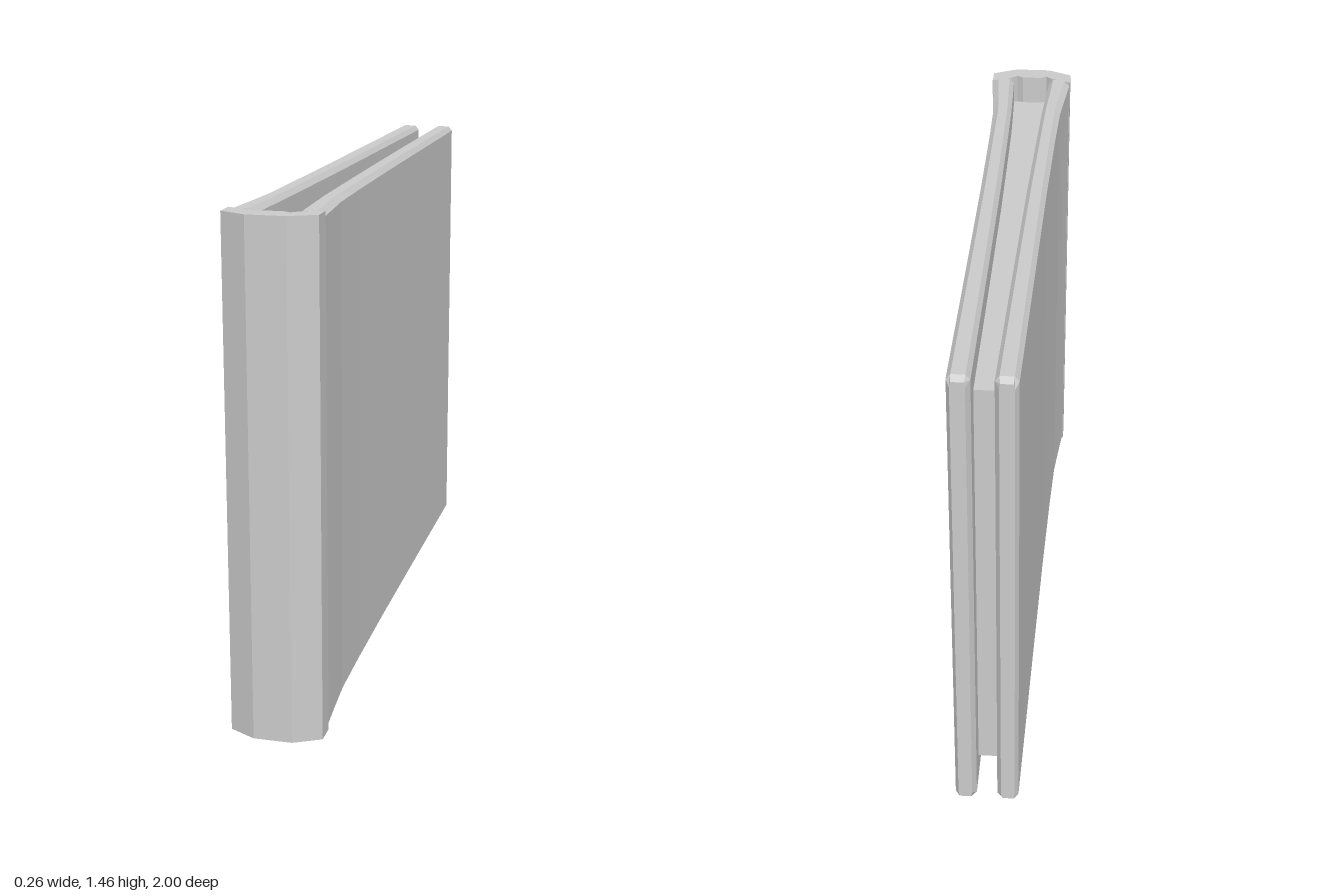
import * as THREE from 'three';

const H = 1.455; // full height of the binding
const INSET = 0.09; // pages sit back from the cover edges
const material = new THREE.MeshStandardMaterial({ color: 0xcccccc, flatShading: true });

// Plan outline (x, z) extruded upwards from y0 to y1
function prism(name, points, y0, y1) {
  const shape = new THREE.Shape(points.map(([x, z]) => new THREE.Vector2(x, -z)));
  const geometry = new THREE.ExtrudeGeometry(shape, { depth: y1 - y0, bevelEnabled: false });
  geometry.rotateX(-Math.PI / 2).translate(0, y0, 0);
  const mesh = new THREE.Mesh(geometry, material);
  mesh.name = name;
  return mesh;
}

// Appends the mirrored half of an outline, running back from -x
const mirrored = (half) => [...half, ...half.map(([x, z]) => [-x, z]).reverse()];

// Cover board: chamfered octagon sections lofted from the fore edge to the spine
function coverBoard(name, side) {
  // z, inner x, outer x, inner chamfer, outer chamfer, inset from top and bottom
  const stations = [
    [-1, 0.042, 0.082, 0.003, 0.003, 0.012],
    [-0.982, 0.03, 0.092, 0.012, 0.012, 0],
    [-0.4, 0.035, 0.096, 0.012, 0.013, 0],
    [0.1, 0.04, 0.1, 0.013, 0.014, 0],
    [0.45, 0.046, 0.105, 0.013, 0.015, 0],
    [0.66, 0.05, 0.11, 0.013, 0.017, 0],
    [0.8, 0.055, 0.121, 0.014, 0.018, 0],
    [0.915, 0.06, 0.131, 0.014, 0.018, 0],
  ];
  const positions = [];
  const index = [];
  for (const [z, a, b, ca, cb, inset] of stations) {
    const lo = inset, hi = H - inset, d = 0.015;
    const section = [
      [a + ca, lo], [b - cb, lo], [b, lo + d], [b, hi - d],
      [b - cb, hi], [a + ca, hi], [a, hi - d], [a, lo + d],
    ];
    for (const [x, y] of section) positions.push(side * x, y, z);
  }
  const tri = (a, b, c) => (side > 0 ? index.push(a, b, c) : index.push(a, c, b));
  const last = (stations.length - 1) * 8;
  for (let s = 0; s < last; s += 8) {
    for (let i = 0; i < 8; i++) {
      const j = (i + 1) % 8;
      tri(s + i, s + j, s + 8 + j);
      tri(s + i, s + 8 + j, s + 8 + i);
    }
  }
  // End caps
  for (let i = 1; i < 7; i++) {
    tri(0, i + 1, i);
    tri(last, last + i, last + i + 1);
  }
  const geometry = new THREE.BufferGeometry();
  geometry.setAttribute('position', new THREE.Float32BufferAttribute(positions, 3));
  geometry.setIndex(index);
  const flat = geometry.toNonIndexed();
  flat.computeVertexNormals();
  const mesh = new THREE.Mesh(flat, material);
  mesh.name = name;
  return mesh;
}

export function createModel() {
  const book = new THREE.Group();
  book.name = 'book';

  // Faceted spine with shallow hinge grooves on its inner side
  const spine = mirrored([
    [0.03, 0.93], [0.05, 0.943], [0.068, 0.925], [0.112, 0.905],
    [0.131, 0.897], [0.131, 0.96], [0.055, 1],
  ]);
  book.add(prism('spine', spine, 0, H));

  book.add(coverBoard('leftCover', 1), coverBoard('rightCover', -1));

  // Page block, widening towards the spine
  const pages = mirrored([
    [0.033, -0.91], [0.037, -0.4], [0.042, 0.1], [0.052, 0.66], [0.06, 0.85], [0.06, 0.935],
  ]);
  book.add(prism('pages', pages, INSET, H - INSET));

  return book;
}
